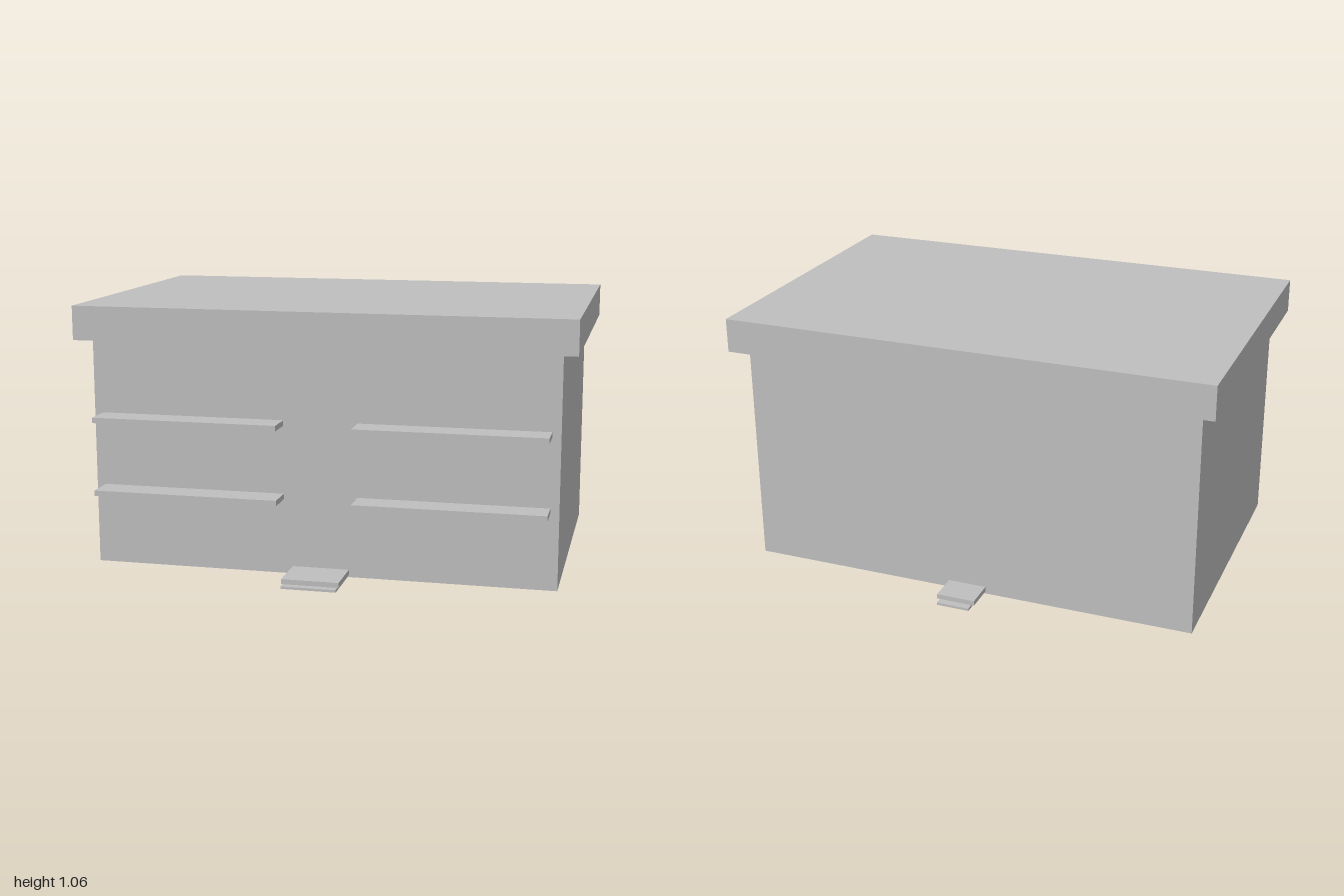
import * as THREE from 'three';

export function createModel() {
  const model = new THREE.Group();
  const grey = new THREE.MeshStandardMaterial({ color: 0xbfbfbf });
  grey.name = 'light grey';

  // Box given by its extents along each axis
  function block(name, [x0, x1], [y0, y1], [z0, z1]) {
    const mesh = new THREE.Mesh(new THREE.BoxGeometry(x1 - x0, y1 - y0, z1 - z0), grey);
    mesh.position.set((x0 + x1) / 2, (y0 + y1) / 2, (z0 + z1) / 2);
    mesh.name = name;
    model.add(mesh);
  }

  // Main building and overhanging flat roof
  const front = 0.565, back = -0.62;
  block('body', [-0.94, 0.94], [0, 0.925], [back, front]);
  block('roof', [-1, 1], [0.925, 1.063], [-0.682, 0.624]);

  // Two rows of ledges on each side of the front
  for (const y of [0.305, 0.603]) {
    block('leftLedge', [0.15, 0.905], [y, y + 0.022], [front, 0.683]);
    block('rightLedge', [-0.905, -0.15], [y, y + 0.022], [front, 0.683]);
  }

  // Two-tier doorstep at the front, and a narrower one at the back
  block('frontLowerStep', [-0.11, 0.11], [0, 0.01], [front, 0.772]);
  block('frontUpperStep', [-0.115, 0.115], [0.01, 0.03], [front, 0.743]);
  block('backLowerStep', [-0.068, 0.068], [0, 0.01], [-0.772, back]);
  block('backUpperStep', [-0.08, 0.08], [0.01, 0.03], [-0.742, back]);

  return model;
}
